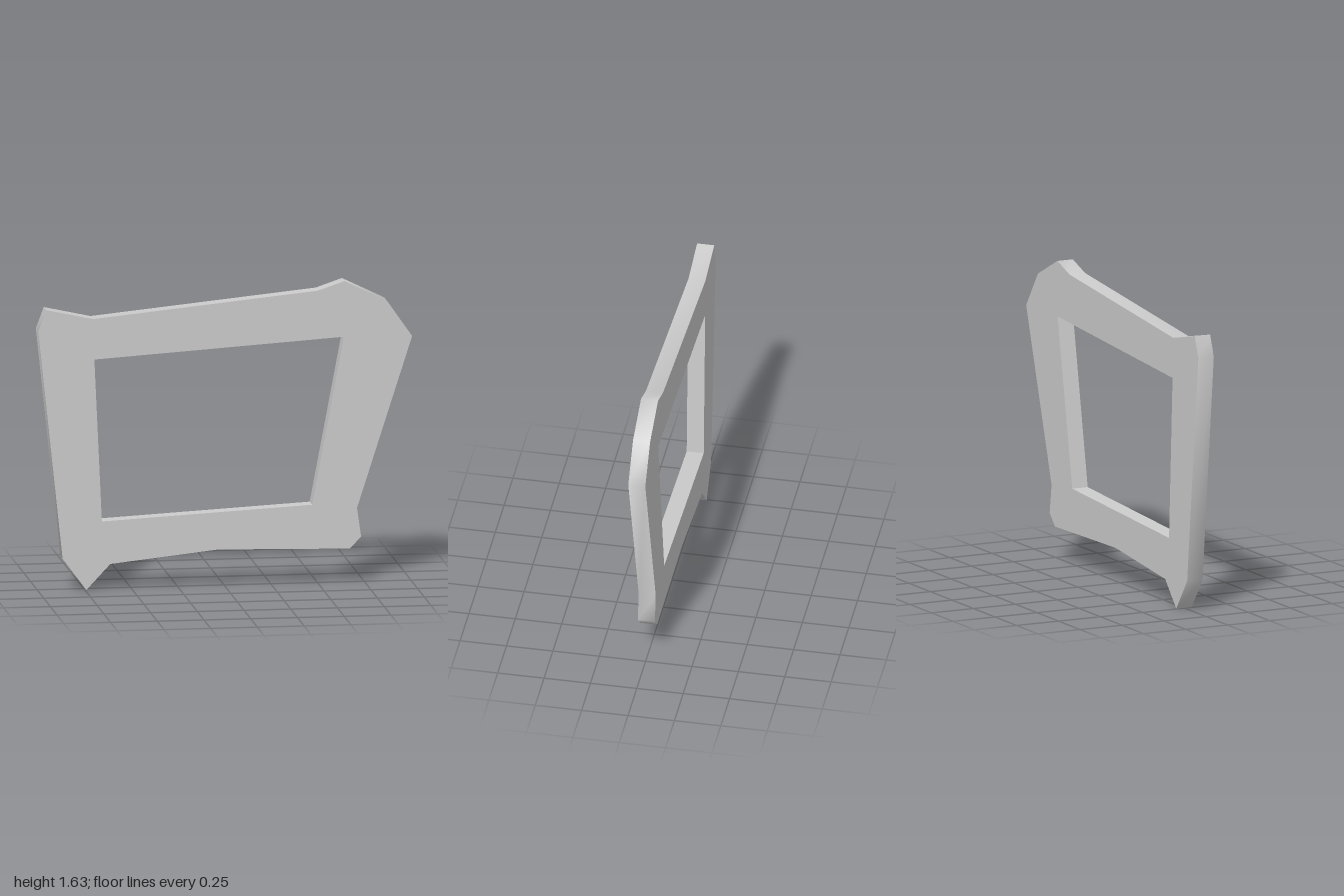
import * as THREE from 'three';
import { toCreasedNormals } from 'three/addons/utils/BufferGeometryUtils.js';

const DEPTH = 0.092;
const toPoints = (pairs) => pairs.map(([x, y]) => new THREE.Vector2(x, y));

// Irregular outer silhouette, clockwise from the upper corner at -x
const OUTLINE = [
  [-1, 1.4], [-0.958, 1.513], [-0.708, 1.458], [0.497, 1.58], [0.637, 1.628],
  [0.864, 1.518], [1, 1.323], [0.705, 0.405], [0.727, 0.25], [0.667, 0.187],
  [-0.04, 0.2], [-0.615, 0.137], [-0.743, 0], [-0.87, 0.172],
];

// Four-sided opening, counter-clockwise so its walls face inwards
const OPENING = [[-0.7, 1.24], [-0.66, 0.367], [0.465, 0.428], [0.635, 1.328]];

export function createModel() {
  const group = new THREE.Group();
  group.name = 'crookedFrame';

  const shape = new THREE.Shape(toPoints(OUTLINE));
  shape.holes.push(new THREE.Path(toPoints(OPENING)));

  // Flat plate with straight sides; the outer bends are smoothed, the rims and opening stay sharp
  const plate = new THREE.ExtrudeGeometry(shape, { depth: DEPTH, bevelEnabled: false });
  plate.translate(0, 0, -DEPTH / 2);

  const frame = new THREE.Mesh(
    toCreasedNormals(plate, THREE.MathUtils.degToRad(60)),
    new THREE.MeshStandardMaterial({ color: 0xcccccc }),
  );
  frame.name = 'frame';
  group.add(frame);
  return group;
}
